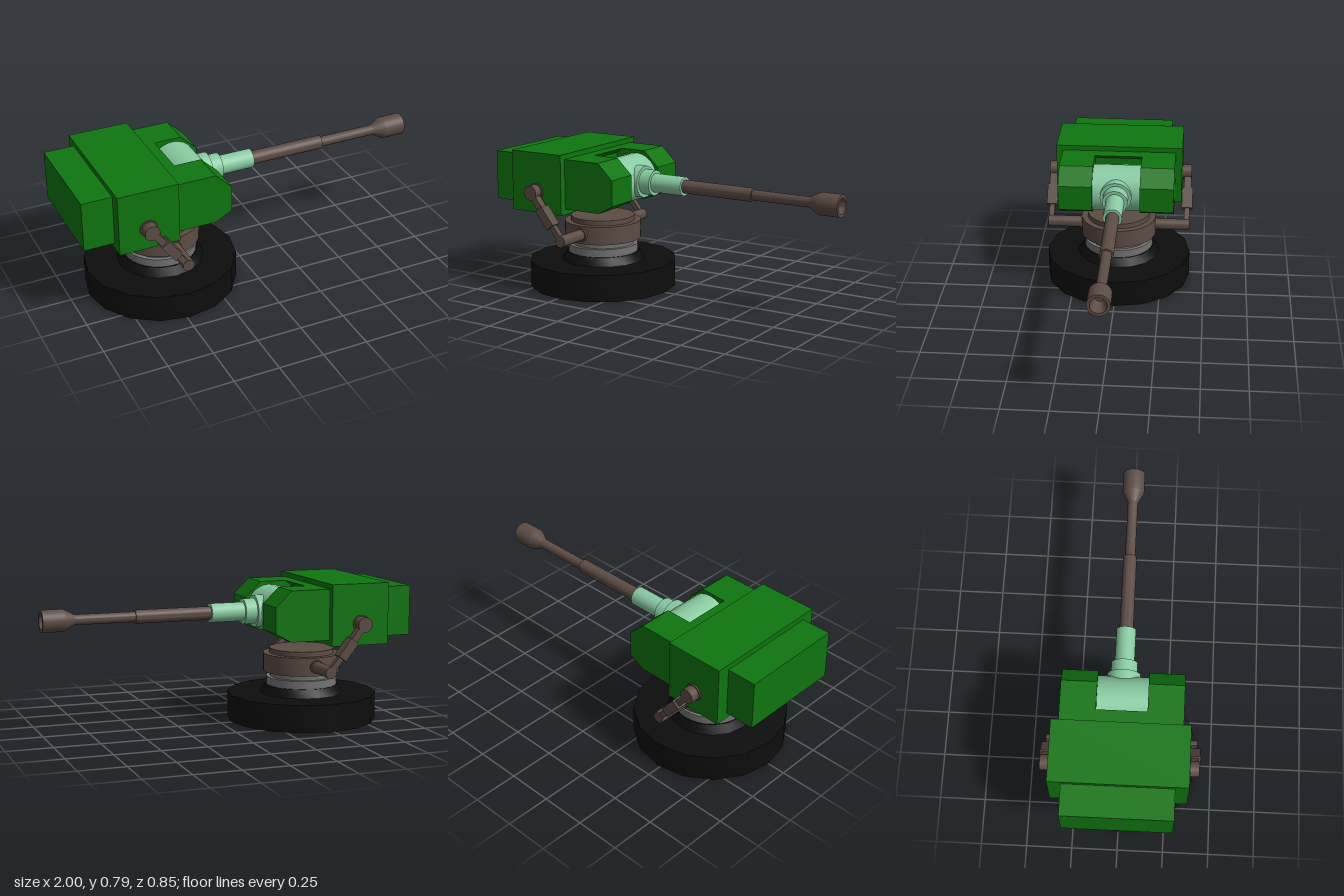
import * as THREE from 'three';
import { toCreasedNormals } from 'three/addons/utils/BufferGeometryUtils.js';

const paint = (name, color) => {
  const m = new THREE.MeshStandardMaterial({ color });
  m.name = name;
  return m;
};

export function createModel() {
  const root = new THREE.Group();
  root.name = 'gunTurret';
  const green = paint('armourGreen', 0x0f750f);
  const mint = paint('paleGreen', 0x88cba2);
  const brown = paint('brownMetal', 0x5c4c45);
  const grey = paint('grey', 0x737373);
  const black = paint('black', 0x0d0d0d);

  const add = (name, geo, mat, x = 0, y = 0, z = 0, parent = root) => {
    const mesh = new THREE.Mesh(geo, mat);
    mesh.name = name;
    mesh.position.set(x, y, z);
    parent.add(mesh);
    return mesh;
  };
  // Turned part: profile of [radius, height] running up the outside
  const turned = (profile, sides = 32) => toCreasedNormals(
    new THREE.LatheGeometry(profile.map(([r, h]) => new THREE.Vector2(r, h)), sides), 0.5);
  const alongX = (profile) => turned(profile).rotateZ(-Math.PI / 2);
  const alongZ = (profile) => turned(profile, 24).rotateX(Math.PI / 2);
  // Box given by its limits on each axis
  const block = (name, mat, [x0, x1], [y0, y1], [z0, z1]) => add(name,
    new THREE.BoxGeometry(x1 - x0, y1 - y0, z1 - z0), mat,
    (x0 + x1) / 2, (y0 + y1) / 2, (z0 + z1) / 2);
  // Side profile in x, y extruded between two z limits
  const slab = (name, mat, points, z0, z1) => {
    const shape = new THREE.Shape(points.map(([x, y]) => new THREE.Vector2(x, y)));
    return add(name, new THREE.ExtrudeGeometry(shape, { depth: z1 - z0, bevelEnabled: false }), mat, 0, 0, z0);
  };

  // Hollow base and swivel ring
  const cx = -0.48;
  add('base', turned([[0.4, 0], [0.415, 0], [0.415, 0.15], [0.235, 0.15], [0.205, 0.195],
    [0.19, 0.195], [0.19, 0.135], [0.4, 0.135], [0.4, 0]], 16), black, cx);
  add('swivelNeck', turned([[0, 0.165], [0.17, 0.165], [0.17, 0.18], [0.197, 0.18], [0.197, 0.24],
    [0.175, 0.24], [0.175, 0.275]]), grey, cx);
  add('swivelRing', turned([[0, 0.27], [0.215, 0.27], [0.215, 0.372], [0.18, 0.372],
    [0.18, 0.4], [0, 0.4]]), brown, cx);

  // Armoured housing
  block('housing', green, [-0.835, -0.505], [0.455, 0.79], [-0.36, 0.36]);
  block('rearHousing', green, [-1, -0.83], [0.487, 0.76], [-0.29, 0.29]);
  const cheek = [[-0.51, 0.485], [-0.285, 0.485], [-0.195, 0.534], [-0.195, 0.676],
    [-0.285, 0.762], [-0.51, 0.762]];
  slab('leftCheek', green, cheek, 0.133, 0.322);
  slab('rightCheek', green, cheek, -0.322, -0.133);
  slab('cheekBridge', green, [[-0.51, 0.485], [-0.435, 0.485], [-0.47, 0.51], [-0.47, 0.735],
    [-0.435, 0.762], [-0.51, 0.762]], -0.133, 0.133);

  // Gun cradle, sleeve and barrel
  const gy = 0.618;
  add('cradle', alongZ([[0, -0.133], [0.13, -0.133], [0.13, 0.133], [0, 0.133]]), mint, -0.335, 0.615);
  add('gunSleeve', alongX([[0, -0.3], [0.088, -0.3], [0.088, -0.19], [0.07, -0.19], [0.07, -0.125],
    [0.052, -0.125], [0.052, 0.065], [0, 0.065]]), mint, 0, gy);
  add('barrel', alongX([[0.037, 0.05], [0.037, 0.49], [0.028, 0.49], [0.028, 0.82], [0.06, 0.88],
    [0.06, 1], [0.043, 1], [0.022, 0.92], [0, 0.92]]), brown, 0, gy);

  // Elevating struts, one on each side
  const low = new THREE.Vector2(cx, 0.322), high = new THREE.Vector2(-0.675, 0.573);
  const length = low.distanceTo(high);
  const tilt = Math.atan2(high.y - low.y, high.x - low.x) - Math.PI / 2;
  for (const [side, s] of [['left', 1], ['right', -1]]) {
    const pin = (name, p, profile) => {
      const geo = alongZ(profile);
      if (s < 0) geo.rotateY(Math.PI);
      add(side + name, geo, brown, p.x, p.y, 0);
    };
    pin('LowerPin', low, [[0.038, 0.18], [0.038, 0.225], [0.032, 0.225], [0.032, 0.41], [0, 0.41]]);
    pin('UpperPin', high, [[0.048, 0.35], [0.048, 0.368], [0.041, 0.368], [0.041, 0.415], [0, 0.415]]);
    const strut = new THREE.Group();
    strut.name = side + 'Strut';
    strut.position.set(low.x, low.y, s * 0.393);
    strut.rotation.z = tilt;
    root.add(strut);
    add(side + 'StrutRod', new THREE.BoxGeometry(0.032, length, 0.03), brown, 0, length / 2, 0, strut);
    add(side + 'StrutSleeve', new THREE.BoxGeometry(0.052, 0.12, 0.062), brown, 0, 0.155, 0, strut);
    add(side + 'StrutHead', new THREE.BoxGeometry(0.036, 0.11, 0.042), brown, 0, 0.25, 0, strut);
  }
  return root;
}
